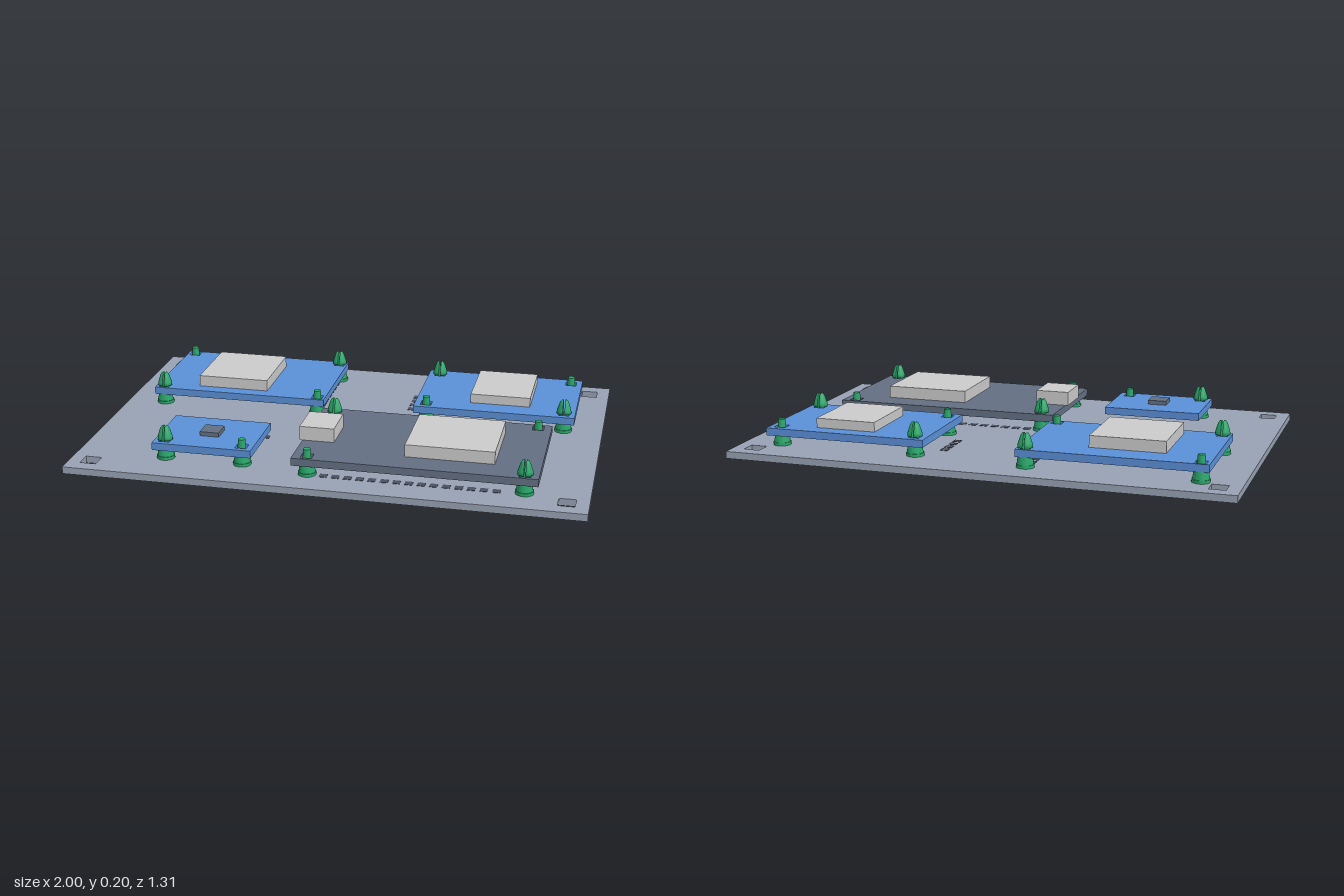
import * as THREE from 'three';
import { mergeGeometries } from 'three/addons/utils/BufferGeometryUtils.js';

const mat = (color) => new THREE.MeshStandardMaterial({ color });
const PLATE_TOP = 0.073, PLATE_BOTTOM = 0.045, BOARD_TOP = 0.146, BOARD_BOTTOM = 0.116;

export function createModel() {
  const model = new THREE.Group();
  const plateMat = mat(0x98a2b3), blue = mat(0x5a90d8), slate = mat(0x637083);
  const green = mat(0x2aa86c), dark = mat(0x4a5160), grey = mat(0xcccccc);

  const add = (name, geometry, material, parent = model) => {
    const mesh = new THREE.Mesh(geometry, material);
    mesh.name = name;
    parent.add(mesh);
    return mesh;
  };

  // Flat panel with square through holes
  const panel = (x0, x1, z0, z1, y0, y1, holes, size) => {
    const shape = new THREE.Shape();
    shape.moveTo(x0, z0).lineTo(x1, z0).lineTo(x1, z1).lineTo(x0, z1).closePath();
    const h = size / 2;
    for (const [x, z] of holes) {
      const hole = new THREE.Path();
      hole.moveTo(x - h, z - h).lineTo(x - h, z + h).lineTo(x + h, z + h).lineTo(x + h, z - h).closePath();
      shape.holes.push(hole);
    }
    return new THREE.ExtrudeGeometry(shape, { depth: y1 - y0, bevelEnabled: false })
      .rotateX(Math.PI / 2).translate(0, y1, 0);
  };

  const block = (x0, x1, z0, z1, y0, y1) =>
    new THREE.BoxGeometry(x1 - x0, y1 - y0, z1 - z0)
      .translate((x0 + x1) / 2, (y0 + y1) / 2, (z0 + z1) / 2);

  // Base plate with four mounting holes
  const corners = [[-0.917, -0.57], [0.917, -0.57], [-0.917, 0.57], [0.917, 0.57]];
  add('basePlate', panel(-1, 1, -0.657, 0.657, PLATE_BOTTOM, PLATE_TOP, corners, 0.064), plateMat);

  // Stepped standoff foot
  const footGeo = mergeGeometries([
    new THREE.CylinderGeometry(0.035, 0.035, 0.012, 24).translate(0, PLATE_TOP + 0.006, 0),
    new THREE.CylinderGeometry(0.028, 0.032, 0.031, 24).translate(0, 0.1005, 0),
  ]);

  // Short locating peg
  const pegGeo = new THREE.CylinderGeometry(0.014, 0.018, 0.06, 20).translate(0, 0.146, 0);

  // One half of the split snap head: half lathe plus its flat inner face
  const profile = [[0, 0.114], [0.017, 0.114], [0.017, 0.146], [0.026, 0.15], [0.025, 0.163],
    [0.015, 0.194], [0.009, 0.204], [0, 0.204]].map(([r, y]) => new THREE.Vector2(r, y));
  const outline = [...profile, ...profile.slice(1, -1).reverse().map((p) => new THREE.Vector2(-p.x, p.y))];
  const snapHalf = mergeGeometries([
    new THREE.LatheGeometry(profile, 14, 0, Math.PI),
    new THREE.ShapeGeometry(new THREE.Shape(outline)).rotateY(-Math.PI / 2),
  ]).translate(0.0035, 0, 0);
  const snapGeo = mergeGeometries([snapHalf, snapHalf.clone().rotateY(Math.PI)]);

  // Circuit modules: board outline, chip and mounts (third value 1 = snap, 0 = peg)
  const modules = [
    { name: 'rearRightBoard', material: blue, box: [-0.877, -0.144, -0.548, -0.067],
      chip: [-0.695, -0.4, -0.438, -0.123, 0.192], chipMat: grey,
      mounts: [[-0.842, -0.519, 0], [-0.177, -0.519, 1], [-0.842, -0.099, 1], [-0.177, -0.099, 0]] },
    { name: 'rearLeftBoard', material: blue, box: [0.23, 0.888, -0.53, -0.083],
      chip: [0.455, 0.7, -0.465, -0.171, 0.184], chipMat: grey,
      mounts: [[0.278, -0.484, 1], [0.842, -0.484, 0], [0.278, -0.128, 0], [0.842, -0.128, 1]] },
    { name: 'mainBoard', material: slate, box: [-0.123, 0.81, 0.016, 0.553],
      chip: [0.294, 0.636, 0.126, 0.447, 0.195], chipMat: grey,
      mounts: [[-0.067, 0.051, 1], [0.757, 0.051, 0], [-0.067, 0.519, 0], [0.757, 0.519, 1]] },
    { name: 'smallBoard', material: blue, box: [-0.684, -0.289, 0.225, 0.521],
      chip: [-0.524, -0.447, 0.334, 0.412, 0.163], chipMat: slate,
      mounts: [[-0.642, 0.479, 1], [-0.334, 0.479, 0]] },
  ];
  for (const { name, material, box, chip, chipMat, mounts } of modules) {
    const group = new THREE.Group();
    group.name = name;
    model.add(group);
    add('board', panel(...box, BOARD_BOTTOM, BOARD_TOP, mounts, 0.044), material, group);
    add('chip', block(...chip.slice(0, 4), BOARD_TOP, chip[4]), chipMat, group);
    for (const [x, z, snap] of mounts) {
      add('standoffFoot', footGeo, green, group).position.set(x, 0, z);
      add(snap ? 'snapHead' : 'locatingPeg', snap ? snapGeo : pegGeo, green, group).position.set(x, 0, z);
    }
  }
  add('cableSocket', block(-0.134, 0.003, 0.206, 0.369, BOARD_TOP, 0.202), grey);

  // Pin rows through the plate: start x, start z, step x, step z, count
  const padGeo = new THREE.BoxGeometry(0.03, 0.034, 0.03).translate(0, 0.0575, 0);
  const pinGeo = new THREE.BoxGeometry(0.014, 0.042, 0.014).translate(0, 0.021, 0);
  const rows = [
    [-0.652, 0.197, 0.0477, 0, 8],
    [0.198, -0.374, 0, 0.047, 4],
    [-0.182, -0.449, 0, 0.0477, 7],
    [-0.003, 0.052, 0.047, 0, 15],
    [-0.003, 0.526, 0.047, 0, 15],
  ];
  for (const [x, z, dx, dz, count] of rows) {
    const row = new THREE.Group();
    row.name = 'pinRow';
    model.add(row);
    for (let i = 0; i < count; i++) {
      add('pinPad', padGeo, dark, row).position.set(x + dx * i, 0, z + dz * i);
      add('pin', pinGeo, grey, row).position.set(x + dx * i, 0, z + dz * i);
    }
  }
  return model;
}
